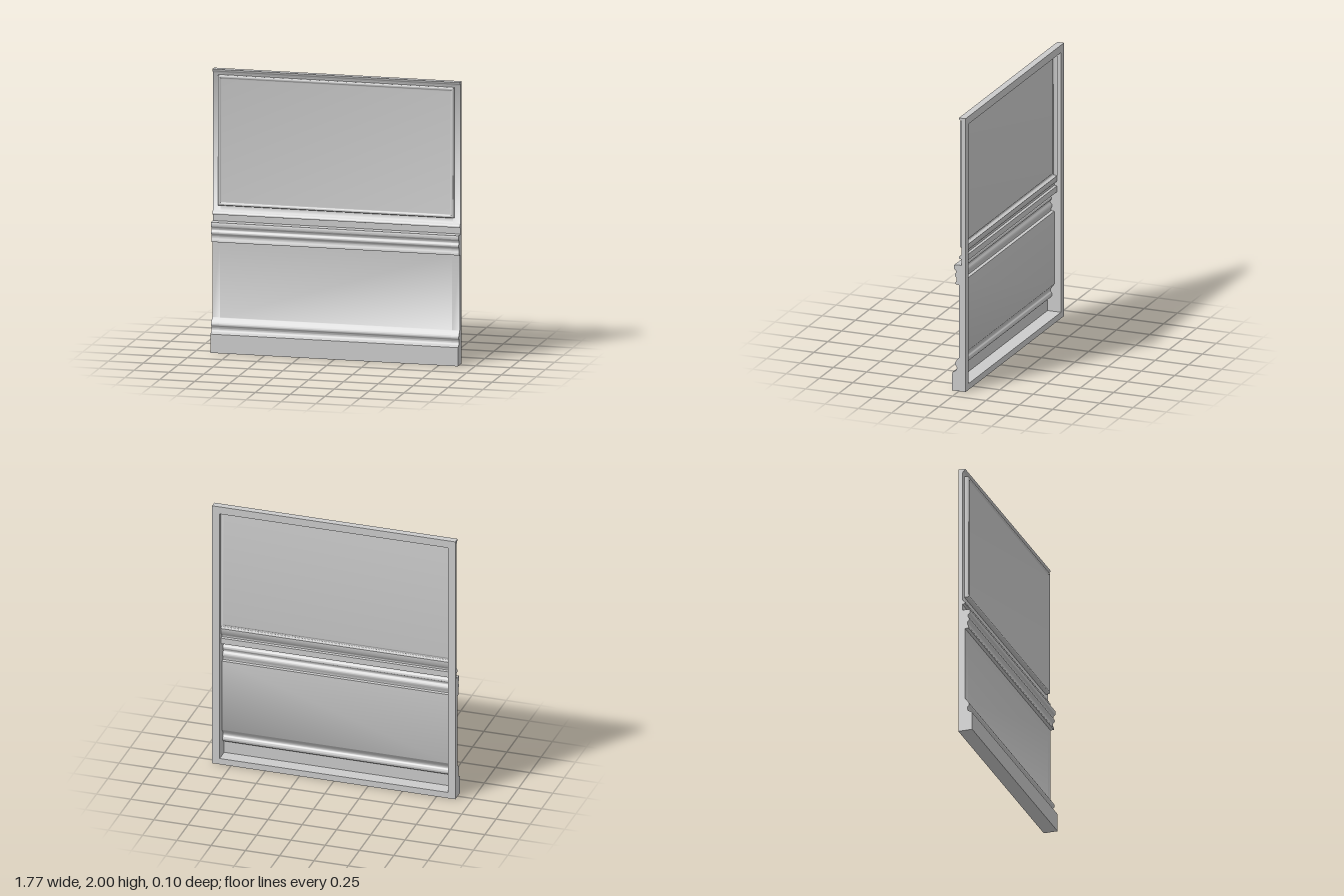
import * as THREE from 'three';
import { toCreasedNormals } from 'three/addons/utils/BufferGeometryUtils.js';

const HALF = 0.887, BACK = -0.05, STILE = 0.055;
const PANEL = { bottom: 1.038, top: 1.96, halfWidth: 0.845 };
const CREASE = 0.7;

// Front outline as [z, y] points; curved runs are smoothed with a spline.
const run = (curved, pts) => {
  const v = pts.map(([z, y]) => new THREE.Vector2(z, y));
  return curved ? new THREE.SplineCurve(v).getPoints(v.length * 3) : v;
};
const baseboard = [
  ...run(false, [[0.052, 0], [0.05, 0.132]]),
  ...run(true, [[0.042, 0.137], [0.024, 0.148], [0.016, 0.165], [0.02, 0.18],
    [0.029, 0.19], [0.029, 0.203], [0.018, 0.222], [0.004, 0.24]]),
  ...run(false, [[0, 0.245]]),
];
const chairRail = [
  ...run(false, [[0, 0.778], [0.024, 0.78]]),
  ...run(true, [[0.026, 0.79], [0.018, 0.81], [0.018, 0.825], [0.03, 0.84],
    [0.029, 0.855], [0.02, 0.866], [0.024, 0.882], [0.036, 0.892], [0.037, 0.91], [0.034, 0.921]]),
  ...run(false, [[-0.02, 0.923], [-0.02, 0.966], [-0.002, 0.97]]),
  ...run(true, [[0, 0.977], [-0.004, 0.987], [-0.014, 0.995], [-0.02, 1.002]]),
];
const cornice = [
  ...run(false, [[-0.02, 1.97]]),
  ...run(true, [[-0.017, 1.973], [-0.014, 1.981], [-0.004, 1.987], [0, 1.995]]),
  ...run(false, [[0, 2]]),
];
const lowerFace = [...baseboard, ...chairRail, new THREE.Vector2(-0.02, PANEL.bottom + 0.002)];

const material = new THREE.MeshStandardMaterial({ color: 0xcccccc });
const thinMaterial = new THREE.MeshStandardMaterial({ color: 0xcccccc, side: THREE.DoubleSide });

function addMesh(parent, name, geometry, mat = material) {
  const mesh = new THREE.Mesh(geometry, mat);
  mesh.name = name;
  parent.add(mesh);
  return mesh;
}

// Solid bar: the front outline closed along the back plane, swept along x.
function sweep(front, x0, x1) {
  const outline = [...front,
    new THREE.Vector2(BACK, front[front.length - 1].y), new THREE.Vector2(BACK, front[0].y)];
  const geo = new THREE.ExtrudeGeometry(new THREE.Shape(outline), { depth: x1 - x0, bevelEnabled: false });
  geo.rotateY(-Math.PI / 2).translate(x1, 0, 0);
  return toCreasedNormals(geo, CREASE);
}

// Thin sheet following the front outline, open at the back.
function sheet(front, halfWidth) {
  const geo = new THREE.PlaneGeometry(halfWidth * 2, 1, 1, front.length - 1);
  const pos = geo.attributes.position;
  for (let i = 0; i < pos.count; i++) {
    const p = front[front.length - 1 - Math.floor(i / 2)];
    pos.setY(i, p.y);
    pos.setZ(i, p.x);
  }
  return toCreasedNormals(geo, CREASE);
}

// Raised panel: nested rectangles [inset, z], joined and capped in the middle.
function raisedPanel() {
  const rings = [[0, -0.02], [0, 0.005], [0.002, 0.009], [0.006, 0.012], [0.012, 0.012],
    [0.017, 0.009], [0.021, 0.005], [0.027, 0.004]];
  const verts = [], index = [];
  for (const [d, z] of rings) {
    const x = PANEL.halfWidth - d, b = PANEL.bottom + d, t = PANEL.top - d;
    verts.push(-x, b, z, x, b, z, x, t, z, -x, t, z);
  }
  for (let r = 0; r < rings.length - 1; r++) {
    for (let i = 0; i < 4; i++) {
      const a = r * 4 + i, b = r * 4 + (i + 1) % 4;
      index.push(a, b, b + 4, a, b + 4, a + 4);
    }
  }
  const c = (rings.length - 1) * 4;
  index.push(c, c + 1, c + 2, c, c + 2, c + 3);
  const geo = new THREE.BufferGeometry();
  geo.setAttribute('position', new THREE.Float32BufferAttribute(verts, 3));
  geo.setIndex(index);
  return toCreasedNormals(geo, CREASE);
}

export function createModel() {
  const group = new THREE.Group();
  group.name = 'wallPanel';
  const inner = HALF - STILE;

  // Side stiles carry the whole moulding outline to the outer edges
  const full = [...baseboard, ...chairRail, ...cornice];
  addMesh(group, 'leftStile', sweep(full, inner, HALF));
  addMesh(group, 'rightStile', sweep(full, -HALF, -inner));

  // Top rail with its small cornice, and bottom rail inside the baseboard
  const topFront = [new THREE.Vector2(-0.02, 2 - STILE), ...cornice];
  addMesh(group, 'topRail', sweep(topFront, -inner, inner));
  const bottomFront = run(false, [[0.0515, 0], [0.0505, 0.045]]);
  addMesh(group, 'bottomRail', sweep(bottomFront, -inner, inner));

  // Hollow-backed lower wall with baseboard and chair rail
  addMesh(group, 'lowerWall', sheet(lowerFace, inner), thinMaterial);

  // Upper panel with beaded edge
  addMesh(group, 'upperPanel', raisedPanel(), thinMaterial);
  return group;
}
